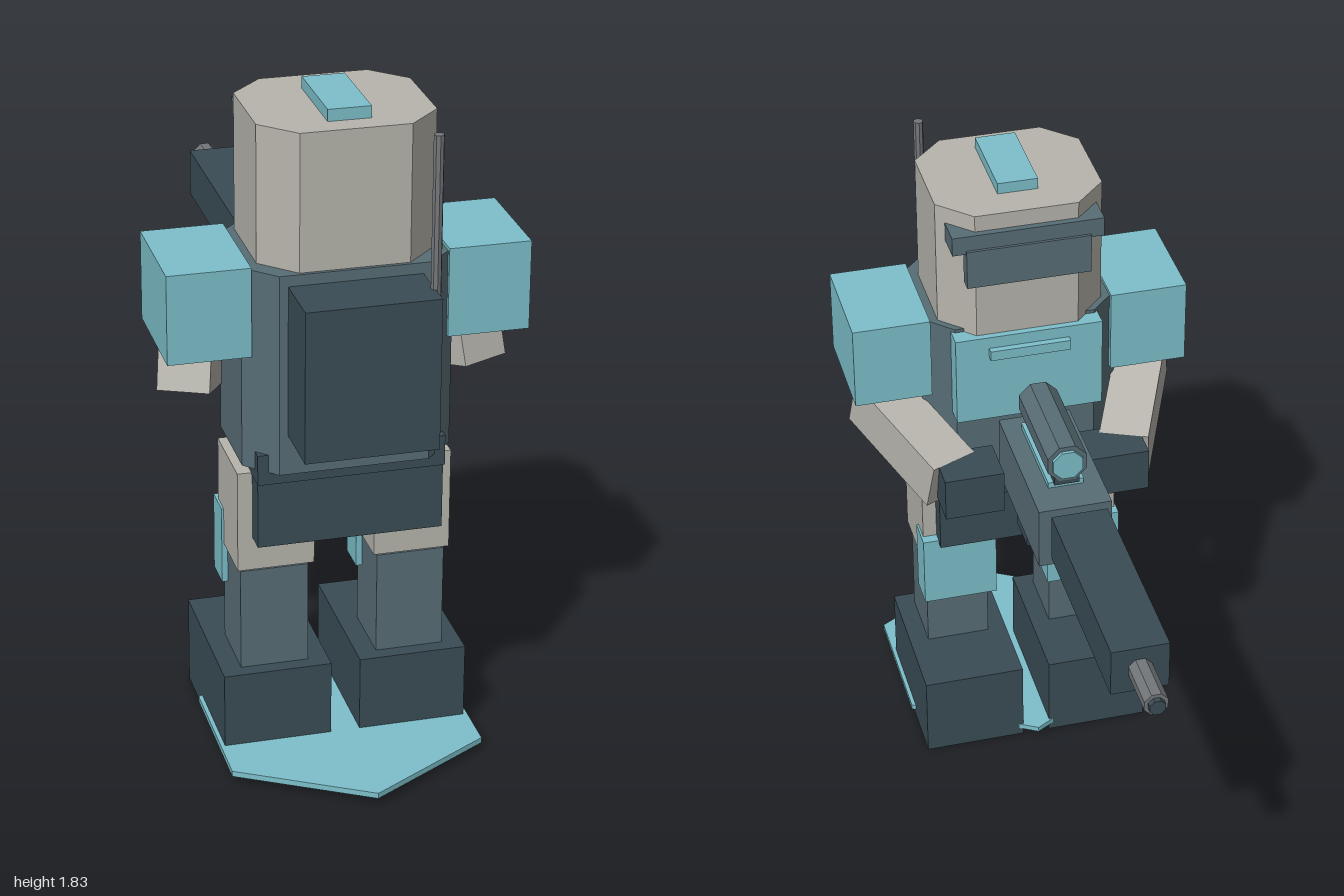
import * as THREE from 'three';

const flat = (name, color) => {
  const m = new THREE.MeshStandardMaterial({ color, flatShading: true });
  m.name = name;
  return m;
};

export function createModel() {
  const bone = flat('bone grey', 0xb7b5ad);
  const slate = flat('slate', 0x586d75);
  const dark = flat('dark slate', 0x3a4c55);
  const teal = flat('teal', 0x7dc0cb);
  const steel = flat('steel', 0x74777a);

  const model = new THREE.Group();
  model.name = 'armouredTrooper';

  const add = (name, geometry, material) => {
    const mesh = new THREE.Mesh(geometry, material);
    mesh.name = name;
    model.add(mesh);
    return mesh;
  };

  // Box given by its extents on each axis
  const box = (name, material, [x0, x1], [y0, y1], [z0, z1]) => {
    const mesh = add(name, new THREE.BoxGeometry(x1 - x0, y1 - y0, z1 - z0), material);
    mesh.position.set((x0 + x1) / 2, (y0 + y1) / 2, (z0 + z1) / 2);
    return mesh;
  };

  // The same box on both sides of the body
  const pair = (name, material, [x0, x1], y, z) => {
    box(name + 'Left', material, [x0, x1], y, z);
    box(name + 'Right', material, [-x1, -x0], y, z);
  };

  // Upright prism with chamfered corners
  const chamferedPrism = (name, material, w, c, [y0, y1], [z0, z1]) => {
    const d = (z1 - z0) / 2;
    const shape = new THREE.Shape([
      [w, -d + c], [w, d - c], [w - c, d], [-w + c, d],
      [-w, d - c], [-w, -d + c], [-w + c, -d], [w - c, -d],
    ].map(([x, y]) => new THREE.Vector2(x, y)));
    const geometry = new THREE.ExtrudeGeometry(shape, { depth: y1 - y0, bevelEnabled: false });
    geometry.rotateX(-Math.PI / 2);
    add(name, geometry, material).position.set(0, y0, (z0 + z1) / 2);
  };

  // Faceted rod along z
  const rod = (name, material, radius, sides, y, [z0, z1]) => {
    const geometry = new THREE.CylinderGeometry(radius, radius, z1 - z0, sides);
    geometry.rotateY(Math.PI / sides).rotateX(Math.PI / 2);
    add(name, geometry, material).position.set(0, y, (z0 + z1) / 2);
  };

  // Hexagonal base plate
  add('basePlate', new THREE.CylinderGeometry(0.4, 0.4, 0.016, 6), teal).position.set(0, 0.03, 0.6);

  // Legs
  pair('foot', dark, [0.04, 0.335], [0, 0.25], [0.23, 0.67]);
  pair('shin', slate, [0.095, 0.28], [0.25, 0.54], [0.44, 0.63]);
  pair('thigh', bone, [0.082, 0.29], [0.55, 0.835], [0.42, 0.643]);
  pair('kneeGuard', teal, [0.078, 0.296], [0.435, 0.655], [0.39, 0.483]);

  // Body
  box('pelvis', dark, [-0.25, 0.25], [0.645, 0.835], [0.367, 0.703]);
  box('belt', dark, [-0.252, 0.252], [0.83, 0.915], [0.34, 0.712]);
  chamferedPrism('torso', slate, 0.28, 0.08, [0.865, 1.42], [0.333, 0.735]);
  box('chestPlate', teal, [-0.21, 0.21], [1.14, 1.41], [0.285, 0.355]);
  box('chestBar', teal, [-0.115, 0.115], [1.345, 1.375], [0.266, 0.286]);
  box('backpack', dark, [-0.177, 0.177], [0.975, 1.39], [0.73, 0.905]);
  add('antenna', new THREE.CylinderGeometry(0.014, 0.014, 0.49, 8), steel).position.set(0.18, 1.555, 0.833);

  // Head with visor
  chamferedPrism('helmet', bone, 0.235, 0.09, [1.41, 1.793], [0.304, 0.725]);
  box('helmetCrest', teal, [-0.057, 0.057], [1.79, 1.825], [0.403, 0.66]);
  box('brow', slate, [-0.213, 0.213], [1.69, 1.745], [0.285, 0.37]);
  box('visor', slate, [-0.175, 0.175], [1.585, 1.7], [0.277, 0.317]);

  // Arms reaching inward and forward to the weapon
  pair('shoulder', teal, [0.26, 0.48], [1.185, 1.43], [0.375, 0.687]);
  for (const side of [1, -1]) {
    const arm = add(side > 0 ? 'forearmLeft' : 'forearmRight', new THREE.BoxGeometry(0.14, 0.15, 0.38), bone);
    arm.position.set(side * 0.328, 1.066, 0.364);
    arm.lookAt(side * 0.168, 0.962, 0.004);
  }
  pair('hand', dark, [0.125, 0.293], [0.963, 1.09], [0.085, 0.225]);

  // Weapon
  box('weaponBody', slate, [-0.102, 0.102], [0.98, 1.163], [-0.208, 0.237]);
  box('weaponGrip', dark, [-0.055, 0.055], [0.805, 0.985], [0.11, 0.225]);
  box('barrelShroud', dark, [-0.078, 0.078], [1.035, 1.173], [-0.84, -0.25]);
  rod('muzzle', steel, 0.034, 8, 1.105, [-0.985, -0.835]);
  rod('muzzleTip', dark, 0.023, 8, 1.105, [-1, -0.98]);

  // Sight on top of the weapon
  box('sightRail', teal, [-0.05, 0.05], [1.16, 1.18], [-0.108, 0.185]);
  box('sightMount', dark, [-0.035, 0.035], [1.178, 1.2], [-0.12, 0.19]);
  rod('sight', slate, 0.059, 8, 1.246, [-0.122, 0.193]);
  rod('sightLens', teal, 0.045, 8, 1.246, [-0.132, -0.12]);

  return model;
}
